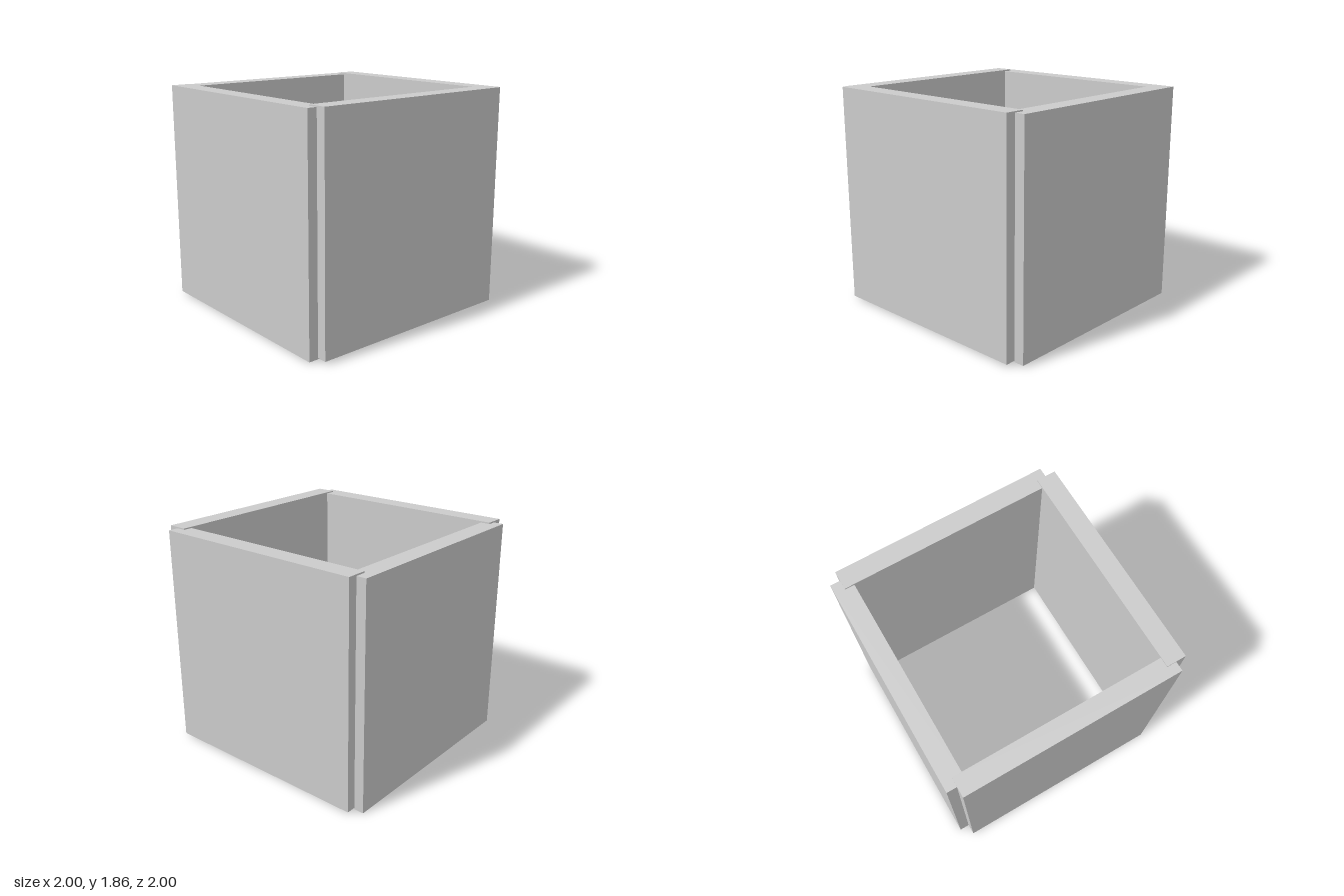
import * as THREE from 'three';

const SPAN = 1.835; // panel width and height
const THICK = 0.163; // panel thickness

export function createModel() {
  const model = new THREE.Group();
  model.name = 'openBox';
  const material = new THREE.MeshStandardMaterial({ color: 0xcccccc, flatShading: true });

  // One upright wall slab; bottom is the height of its lower edge
  function addPanel(name, alongX, x, bottom, z) {
    const geometry = new THREE.BoxGeometry(alongX ? SPAN : THICK, SPAN, alongX ? THICK : SPAN);
    const panel = new THREE.Mesh(geometry, material);
    panel.name = name;
    panel.position.set(x, bottom + SPAN / 2, z);
    model.add(panel);
  }

  const offset = 1 - THICK / 2;

  // Front and back walls, slightly staggered in height and sideways
  addPanel('frontPanel', true, -0.003, 0.024, offset);
  addPanel('backPanel', true, 0.006, 0.002, -offset);

  // Side walls, overlapping the front and back walls at the corners
  addPanel('leftPanel', false, offset, 0.014, 0);
  addPanel('rightPanel', false, -offset, 0.014, 0);

  return model;
}
